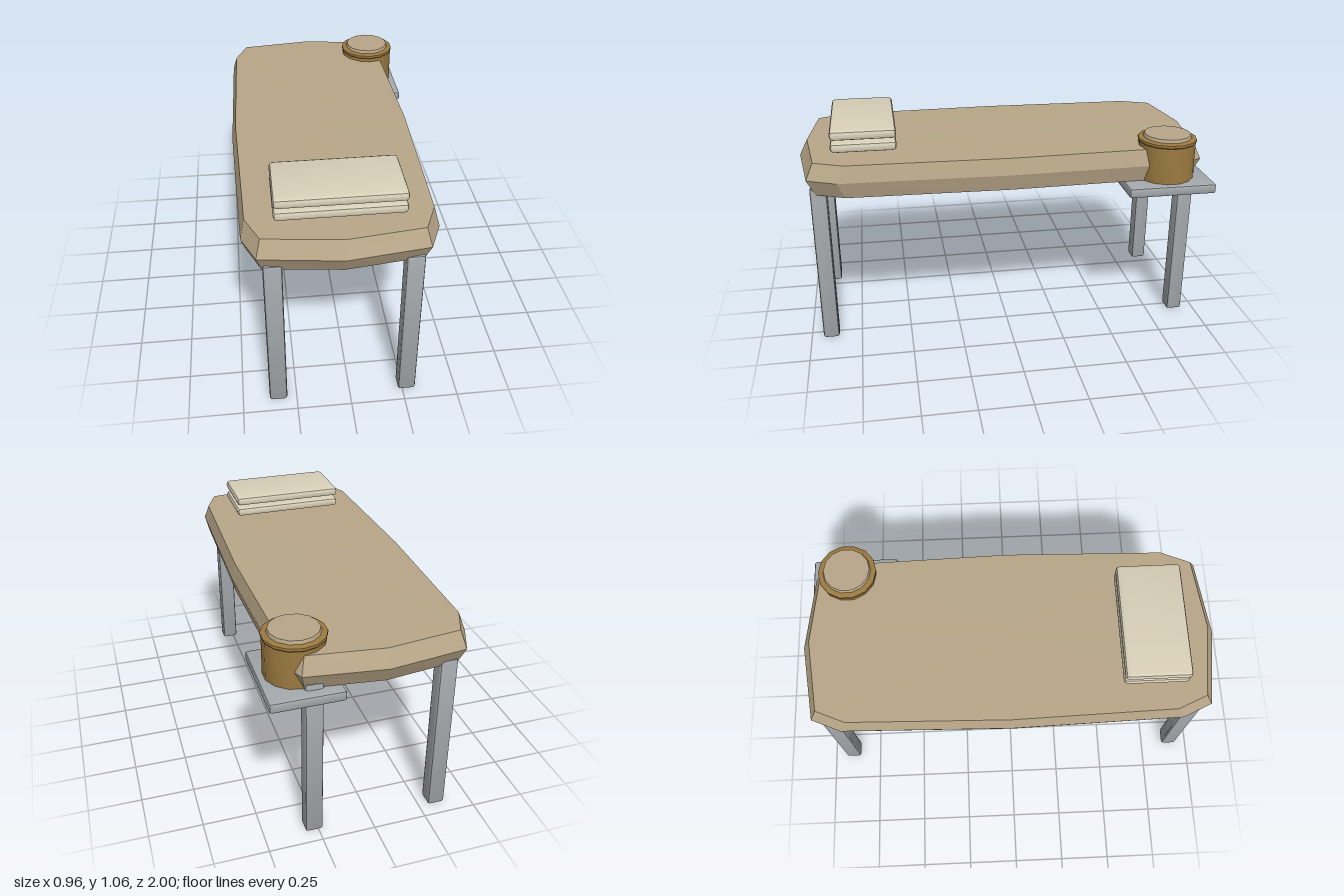
import * as THREE from 'three';
import { toCreasedNormals } from 'three/addons/utils/BufferGeometryUtils.js';
import { RoundedBoxGeometry } from 'three/addons/geometries/RoundedBoxGeometry.js';

const paint = (name, color) => {
  const m = new THREE.MeshStandardMaterial({ color });
  m.name = name;
  return m;
};

// Box with chamfered edges, given by its extents on each axis
function slab(name, material, [x0, x1], [y0, y1], [z0, z1], bevel) {
  const geo = new RoundedBoxGeometry(x1 - x0, y1 - y0, z1 - z0, 1, bevel);
  const mesh = new THREE.Mesh(toCreasedNormals(geo, 0.4), material);
  mesh.name = name;
  mesh.position.set((x0 + x1) / 2, (y0 + y1) / 2, (z0 + z1) / 2);
  return mesh;
}

// Closed ring mirrored from one quarter outline, running from +x towards +z
function ring(quarter, y) {
  const q = quarter.map(([x, z]) => [x, z]);
  const left = q.slice(0, -1).reverse().map(([x, z]) => [-x, z]);
  const half = [...q, ...left];
  const back = half.slice(1, -1).reverse().map(([x, z]) => [x, -z]);
  return [...half, ...back].map(([x, z]) => new THREE.Vector3(x, y, z));
}

// Solid lofted through rings, closed by shallow fans above and below
function loft(rings, bottomY, topY) {
  const pts = [];
  const n = rings[0].length;
  const bottom = new THREE.Vector3(0, bottomY, 0);
  const top = new THREE.Vector3(0, topY, 0);
  const last = rings[rings.length - 1];
  for (let i = 0; i < n; i++) {
    const j = (i + 1) % n;
    pts.push(bottom, rings[0][i], rings[0][j]);
    for (let k = 0; k < rings.length - 1; k++) {
      const a = rings[k], b = rings[k + 1];
      pts.push(a[i], b[i], b[j], a[i], b[j], a[j]);
    }
    pts.push(top, last[j], last[i]);
  }
  const geo = new THREE.BufferGeometry().setFromPoints(pts);
  geo.computeVertexNormals();
  return geo;
}

export function createModel() {
  const model = new THREE.Group();
  const tan = paint('tan top', 0xb8a688);
  const cream = paint('cream cushion', 0xd8d0b8);
  const grey = paint('grey metal', 0xa3a8ac);
  const brown = paint('brown drum', 0x9c7a40);

  // Long table top with a pointed rim all round
  const outer = [[0.445, 0], [0.425, 0.81], [0.365, 0.95], [0, 0.998]];
  const inner = [[0.425, 0], [0.405, 0.775], [0.345, 0.915], [0, 0.958]];
  const top = new THREE.Mesh(
    loft([ring(inner, 0.78), ring(outer, 0.86), ring(inner, 0.938)], 0.767, 0.948), tan);
  top.name = 'tableTop';
  top.position.x = -0.035;
  model.add(top);

  // Four square legs
  for (const x of [-0.335, 0.27]) {
    for (const z of [0.902, -0.898]) {
      const name = (z > 0 ? 'front' : 'back') + (x > 0 ? 'Left' : 'Right') + 'Leg';
      model.add(slab(name, grey, [x - 0.041, x + 0.041], [0, 0.807], [z - 0.039, z + 0.039], 0.012));
    }
  }

  // Two stacked cushions
  [0.954, 1.014].forEach((y, i) => {
    model.add(slab(i ? 'upperCushion' : 'lowerCushion', cream,
      [-0.32, 0.25], [y, y + 0.046], [0.525, 0.835], 0.018));
  });

  // Side shelf at the back corner
  model.add(slab('sideShelf', grey, [0.145, 0.477], [0.73, 0.779], [-0.985, -0.555], 0.012));

  // Drum standing on the shelf, with its lid
  const profile = [[0, 0.772], [0.138, 0.772], [0.138, 0.958], [0.142, 0.963], [0.142, 0.975], [0.12, 0.98], [0, 0.98]]
    .map(([r, y]) => new THREE.Vector2(r, y));
  const drum = new THREE.Mesh(toCreasedNormals(new THREE.LatheGeometry(profile, 14), 0.6), brown);
  drum.name = 'drum';
  const lid = new THREE.Mesh(new THREE.CylinderGeometry(0.112, 0.118, 0.019, 14), tan);
  lid.name = 'drumLid';
  lid.position.y = 0.986;
  const drumGroup = new THREE.Group();
  drumGroup.name = 'drumWithLid';
  drumGroup.position.set(0.312, 0, -0.777);
  drumGroup.add(drum, lid);
  model.add(drumGroup);

  return model;
}
